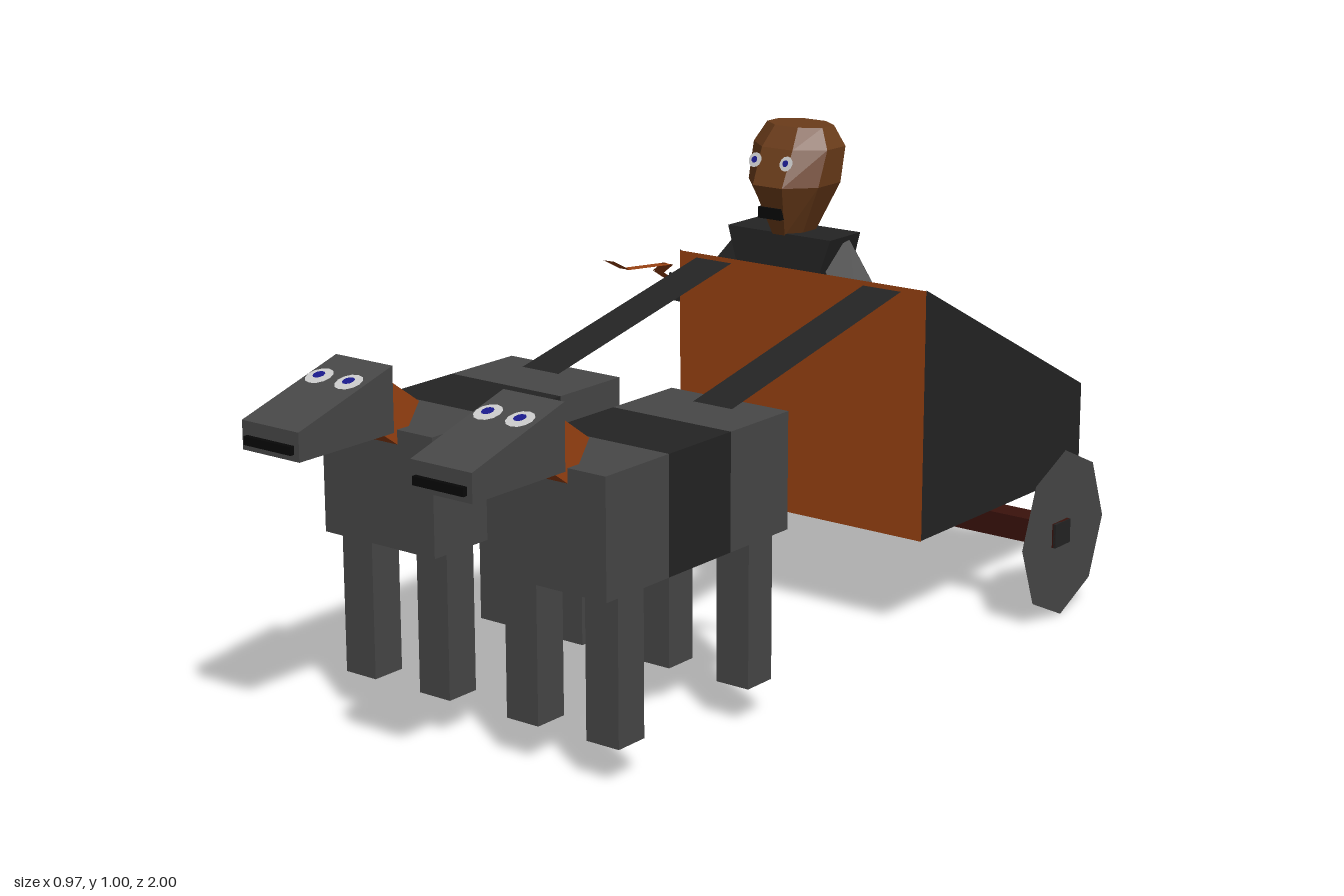
import * as THREE from 'three';

const mat = (color) => new THREE.MeshStandardMaterial({ color, flatShading: true, side: THREE.DoubleSide });
const V = (x, y, z) => new THREE.Vector3(x, y, z);

export function createModel() {
  const grey = mat(0x484848), dark = mat(0x242424), black = mat(0x080808);
  const orange = mat(0x9a4212), maroon = mat(0x3a120c), skin = mat(0x6b3c1a);
  const white = mat(0xcccccc), blue = mat(0x1a1a8c);
  const model = new THREE.Group();

  const add = (parent, name, geometry, material) => {
    const mesh = new THREE.Mesh(geometry, material);
    mesh.name = name;
    parent.add(mesh);
    return mesh;
  };
  // Box given by its limits on each axis
  const box = (parent, name, material, [x0, x1], [y0, y1], [z0, z1]) =>
    add(parent, name, new THREE.BoxGeometry(x1 - x0, y1 - y0, z1 - z0)
      .translate((x0 + x1) / 2, (y0 + y1) / 2, (z0 + z1) / 2), material);
  // Side profile of [z, y] points, given a width along x (flat if the width is 0)
  const profile = (parent, name, material, points, width, x = 0) => {
    const shape = new THREE.Shape(points.map(([z, y]) => new THREE.Vector2(z, y)));
    const geometry = width
      ? new THREE.ExtrudeGeometry(shape, { depth: width, bevelEnabled: false }).translate(0, 0, -width / 2)
      : new THREE.ShapeGeometry(shape);
    return add(parent, name, geometry.rotateY(-Math.PI / 2).translate(x, 0, 0), material);
  };
  // Geometry whose length runs along z, placed from a to b
  const between = (parent, name, geometry, material, a, b) => {
    const mesh = add(parent, name, geometry, material);
    mesh.position.copy(a).add(b).multiplyScalar(0.5);
    mesh.quaternion.setFromUnitVectors(V(0, 0, 1), b.clone().sub(a).normalize());
    return mesh;
  };
  const strip = (parent, name, material, a, b, width) =>
    between(parent, name, new THREE.PlaneGeometry(width, a.distanceTo(b)).rotateX(-Math.PI / 2), material, a, b);
  const limb = (parent, name, material, a, b, width) =>
    between(parent, name, new THREE.BoxGeometry(width, width, a.distanceTo(b)), material, a, b);
  // Faceted body through rings of [y, half width, back z, front z], top ring first
  const loft = (parent, name, material, sides, x, rings) => {
    const last = rings.length - 1;
    const geometry = new THREE.CylinderGeometry(1, 1, 1, sides, last, false, Math.PI / sides);
    const p = geometry.attributes.position, k = 1 / Math.cos(Math.PI / sides);
    for (let i = 0; i < p.count; i++) {
      const [y, hx, z0, z1] = rings[Math.round((0.5 - p.getY(i)) * last)];
      p.setXYZ(i, x + p.getX(i) * hx * k, y, (z0 + z1) / 2 + p.getZ(i) * k * (z1 - z0) / 2);
    }
    geometry.computeVertexNormals();
    return add(parent, name, geometry, material);
  };
  // Eye disc with iris, facing +z before it is tilted
  const eye = (parent, position, radius, tilt) => {
    const group = new THREE.Group();
    group.name = 'eye';
    add(group, 'eyeWhite', new THREE.CircleGeometry(radius, 12), white);
    add(group, 'iris', new THREE.CircleGeometry(radius * 0.45, 10).translate(0, 0, 0.003), blue);
    group.position.copy(position);
    group.rotation.x = tilt;
    parent.add(group);
  };

  // Two draught animals, each with a rein to the cart
  for (const x of [-0.212, 0.208]) {
    const horse = new THREE.Group();
    horse.name = 'horse';
    horse.position.x = x;
    const w = [-0.143, 0.143], h = [0.38, 0.62];
    box(horse, 'hindBody', grey, w, h, [0.15, 0.335]);
    box(horse, 'bodyBand', dark, w, h, [0.335, 0.525]);
    box(horse, 'foreBody', grey, w, h, [0.525, 0.71]);
    for (const side of [-1, 1])
      for (const z of [0.23, 0.632])
        box(horse, 'leg', grey, [side * 0.098 - 0.039, side * 0.098 + 0.039], [0.08, 0.38], [z - 0.038, z + 0.038]);
    profile(horse, 'neck', orange, [[0.738, 0.727], [0.647, 0.663], [0.702, 0.585], [0.793, 0.649]], 0.108);
    profile(horse, 'head', grey, [[0.738, 0.754], [0.738, 0.623], [0.99, 0.623], [0.99, 0.68]], 0.145);
    box(horse, 'mouth', black, [-0.06, 0.06], [0.636, 0.653], [0.97, 1]);
    for (const side of [-1, 1]) eye(horse, V(side * 0.038, 0.734, 0.82), 0.028, -1.28);
    strip(horse, 'tail', grey, V(-0.012, 0.57, 0.15), V(-0.012, 0.36, -0.01), 0.08);
    strip(horse, 'rein', dark, V(0, 0.625, 0.22), V(0, 0.75, -0.36), 0.095).position.x += x < 0 ? -0.006 : 0.012;
    model.add(horse);
  }

  // Cart: thin panels, open at the back
  const cart = new THREE.Group();
  cart.name = 'cart';
  add(cart, 'frontPanel', new THREE.PlaneGeometry(0.64, 0.54).translate(0.01, 0.49, -0.36), orange);
  add(cart, 'floor', new THREE.PlaneGeometry(0.64, 0.64).rotateX(-Math.PI / 2).translate(0.01, 0.222, -0.68), maroon);
  for (const x of [-0.31, 0.33])
    profile(cart, 'sidePanel', dark, [[-0.36, 0.222], [-0.36, 0.762], [-1, 0.43], [-1, 0.222]], 0, x);
  box(cart, 'axle', maroon, [-0.485, 0.485], [0.163, 0.216], [-0.705, -0.645]);
  for (const side of [-1, 1]) {
    add(cart, 'wheel', new THREE.CircleGeometry(1, 8).scale(0.166, 0.185, 1).rotateY(side * Math.PI / 2)
      .translate(side * 0.478, 0.186, -0.69), grey);
    box(cart, 'hub', dark, [side * 0.484 - 0.003, side * 0.484 + 0.003], [0.163, 0.216], [-0.705, -0.645]);
  }
  model.add(cart);

  // Driver
  const driver = new THREE.Group();
  driver.name = 'driver';
  const cx = -0.22;
  loft(driver, 'head', skin, 8, cx, [
    [1.005, 0.075, -0.733, -0.626], [0.96, 0.1, -0.76, -0.592],
    [0.88, 0.095, -0.76, -0.556], [0.765, 0.04, -0.717, -0.6]]);
  for (const side of [-1, 1]) eye(driver, V(cx - 0.004 + side * 0.042, 0.933, -0.573), 0.017, -0.4);
  box(driver, 'mouth', black, [-0.255, -0.195], [0.805, 0.83], [-0.62, -0.57]);
  loft(driver, 'torso', dark, 4, cx, [
    [0.77, 0.14, -0.715, -0.6], [0.68, 0.11, -0.725, -0.595],
    [0.5, 0.07, -0.72, -0.6], [0.222, 0.06, -0.71, -0.61]]);
  limb(driver, 'leftArm', dark, V(-0.12, 0.73, -0.675), V(0, 0.56, -0.675), 0.08);
  limb(driver, 'rightUpperArm', dark, V(-0.32, 0.72, -0.675), V(-0.405, 0.595, -0.625), 0.085);
  limb(driver, 'rightForearm', dark, V(-0.4, 0.59, -0.65), V(-0.432, 0.635, -0.5), 0.06);

  // Zigzag whip held in the right hand
  const whip = [V(-0.435, 0.64, -0.51), V(-0.41, 0.69, -0.41), V(-0.36, 0.72, -0.38),
    V(-0.4, 0.72, -0.28), V(-0.38, 0.755, -0.2)];
  for (let i = 1; i < whip.length; i++) strip(driver, 'whip', orange, whip[i - 1], whip[i], 0.026);
  model.add(driver);

  return model;
}
